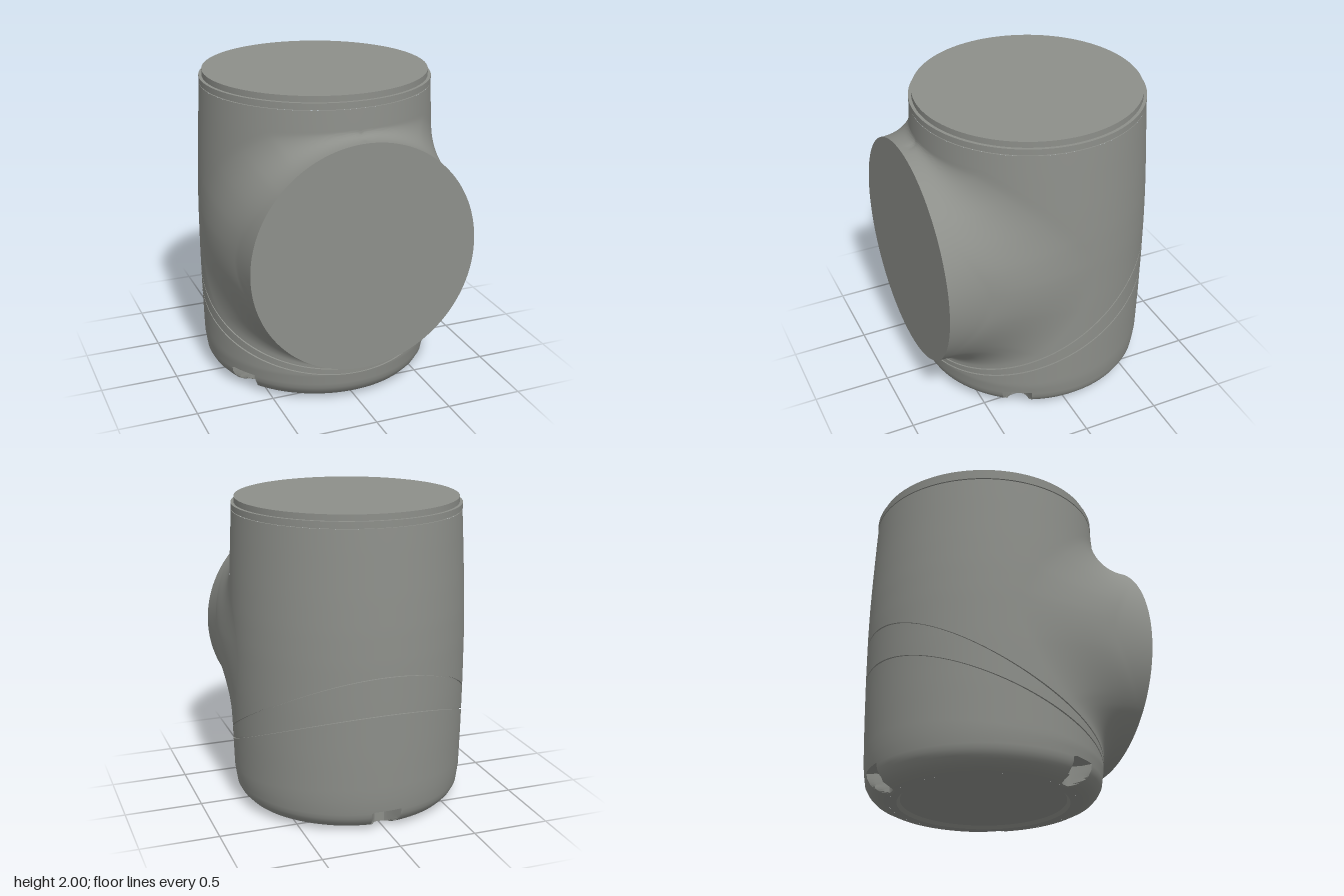
import * as THREE from 'three';
import { toCreasedNormals } from 'three/addons/utils/BufferGeometryUtils.js';

const AXIS_Z = -0.045; // vertical axis of the barrel
const SEG = 240;
const material = new THREE.MeshStandardMaterial({ color: 0x8d8f8a });

// Barrel profile as [height, radius]
const PROFILE = [
  [0, 0.59], [0.012, 0.645], [0.035, 0.69], [0.065, 0.718], [0.1, 0.737], [0.2, 0.752],
  [0.5, 0.76], [0.8, 0.764], [1.1, 0.764], [1.3, 0.76], [1.5, 0.752], [1.8, 0.737], [1.92, 0.73],
];

function radiusAt(y) {
  for (let i = 1; i < PROFILE.length; i++) {
    const [y0, r0] = PROFILE[i - 1], [y1, r1] = PROFILE[i];
    if (y <= y1) return THREE.MathUtils.lerp(r0, r1, Math.max(0, (y - y0) / (y1 - y0)));
  }
  return 0.73;
}

// Heights of the two sloping seams, as functions of z
const seam = (y0, a, b) => (z) => {
  const s = (0.71 - z) / 1.51;
  return y0 + a * s + b * s * s;
};
const lowerSeam = seam(0.2, 0.42, 0.16);
const upperSeam = seam(0.24, 0.48, 0.3);

// Closed surface of rows around a loop; point(row, fraction) returns a Vector3
function loopSurface(rows, point) {
  const pos = [], index = [];
  for (let i = 0; i < rows; i++) {
    for (let j = 0; j < SEG; j++) pos.push(...point(i, j / SEG).toArray());
  }
  for (let i = 0; i < rows - 1; i++) {
    for (let j = 0; j < SEG; j++) {
      const k = (j + 1) % SEG;
      const a = i * SEG + j, b = i * SEG + k, c = a + SEG, d = b + SEG;
      index.push(a, b, d, a, d, c);
    }
  }
  const g = new THREE.BufferGeometry();
  g.setAttribute('position', new THREE.Float32BufferAttribute(pos, 3));
  g.setIndex(index);
  return toCreasedNormals(g, 0.55);
}

function addMesh(group, name, geometry) {
  const mesh = new THREE.Mesh(geometry, material);
  mesh.name = name;
  group.add(mesh);
  return mesh;
}

// Barrel section: each row is [height function of z, inset]
function shell(rows) {
  return loopSurface(rows.length, (i, u) => {
    const angle = u * Math.PI * 2;
    const y = rows[i][0](0.76 * Math.cos(angle) + AXIS_Z);
    let r = radiusAt(y) - rows[i][1];
    // Three scooped finger notches at the foot, 120 degrees apart
    const off = Math.abs(((u * 360) % 120) - 60) / 6.2;
    if (off < 1 && y < 0.135) r = Math.min(r, 0.6 + 0.1 * off ** 4);
    return new THREE.Vector3(r * Math.sin(angle), y, r * Math.cos(angle) + AXIS_Z);
  });
}

// Evenly spaced rows between two height functions
function span(from, to, steps) {
  return Array.from({ length: steps + 1 }, (_, i) =>
    [(z) => THREE.MathUtils.lerp(from(z), to(z), i / steps), 0]);
}

// Boss wall: straight from the rim, then a fillet that widens toward the sides
function bossWall() {
  const R = 0.73, cy = 1.01, steps = 18;
  return loopSurface(steps + 2, (row, u) => {
    const t = u * Math.PI * 2, c = Math.cos(t), s = Math.sin(t);
    const x = R * c, y = cy + R * s;
    if (row === steps + 1) return new THREE.Vector3(x, y, 0.8);
    const body = radiusAt(y);
    const z = Math.sqrt(body * body - x * x) + AXIS_Z;
    const d = 0.05 + 0.28 * Math.abs(c) ** 0.75;
    const a1 = Math.asin(x / body), a = a1 + (d * c) / body;
    const endZ = body * Math.cos(a) + AXIS_Z;
    const endY = THREE.MathUtils.clamp(y + d * s, upperSeam(endZ) + 0.012, 1.8);
    const endR = radiusAt(endY);
    // Middle point lies on the tangent plane of the end point
    const mid = endR / Math.cos(a - a1);
    const midZ = mid * Math.cos(a1) + AXIS_Z;
    const curve = new THREE.QuadraticBezierCurve3(
      new THREE.Vector3(endR * Math.sin(a), endY, endR * Math.cos(a) + AXIS_Z),
      new THREE.Vector3(mid * Math.sin(a1), y, midZ),
      new THREE.Vector3(x, y, Math.min(Math.max(z, midZ) + d * 1.1, 0.79)),
    );
    const p = curve.getPoint(row / steps);
    // Keep the fillet just outside the barrel
    const dist = Math.hypot(p.x, p.z - AXIS_Z), k = Math.max(1, (radiusAt(p.y) + 0.001) / dist);
    return p.set(p.x * k, p.y, (p.z - AXIS_Z) * k + AXIS_Z);
  });
}

function lathe(points) {
  const g = new THREE.LatheGeometry(points.map(([r, y]) => new THREE.Vector2(r, y)), 120);
  return toCreasedNormals(g, 0.55).translate(0, 0, AXIS_Z);
}

export function createModel() {
  const model = new THREE.Group();
  const half = 0.005, depth = 0.012; // seam groove size
  const at = (y) => () => y;
  const shift = (f, d) => (z) => f(z) + d;
  const lowA = shift(lowerSeam, -half), lowB = shift(lowerSeam, half);
  const upA = shift(upperSeam, -half), upB = shift(upperSeam, half);

  // Foot section with rounded edge and notches
  const foot = [0, 0.006, 0.012, 0.022, 0.035, 0.05, 0.065, 0.08, 0.1, 0.13, 0.138].map((y) => [at(y), 0]);
  addMesh(model, 'lowerShell', shell([...foot, ...span(at(0.15), lowA, 8), [lowA, depth]]));

  // Sloping band between the two seams
  addMesh(model, 'slopingBand', shell([
    [lowA, depth], [lowB, depth], ...span(lowB, upA, 4), [upA, depth],
  ]));

  // Upper barrel
  addMesh(model, 'upperShell', shell([
    [upA, depth], [upB, depth], ...span(upB, at(1.8), 20), [at(1.918), 0],
  ]));

  // Underside with a shallow recessed disc
  addMesh(model, 'underside', lathe([[0, 0.02], [0.52, 0.02], [0.54, 0], [0.59, 0]]));

  // Stepped top cap above a thin groove
  addMesh(model, 'topCap', lathe([
    [0.73, 1.918], [0.72, 1.918], [0.72, 1.924], [0.732, 1.924], [0.732, 1.962],
    [0.712, 1.962], [0.712, 2], [0, 2],
  ]));

  // Round front boss
  addMesh(model, 'bossWall', bossWall());
  addMesh(model, 'bossFace', new THREE.CircleGeometry(0.73, SEG)).position.set(0, 1.01, 0.8);

  return model;
}
